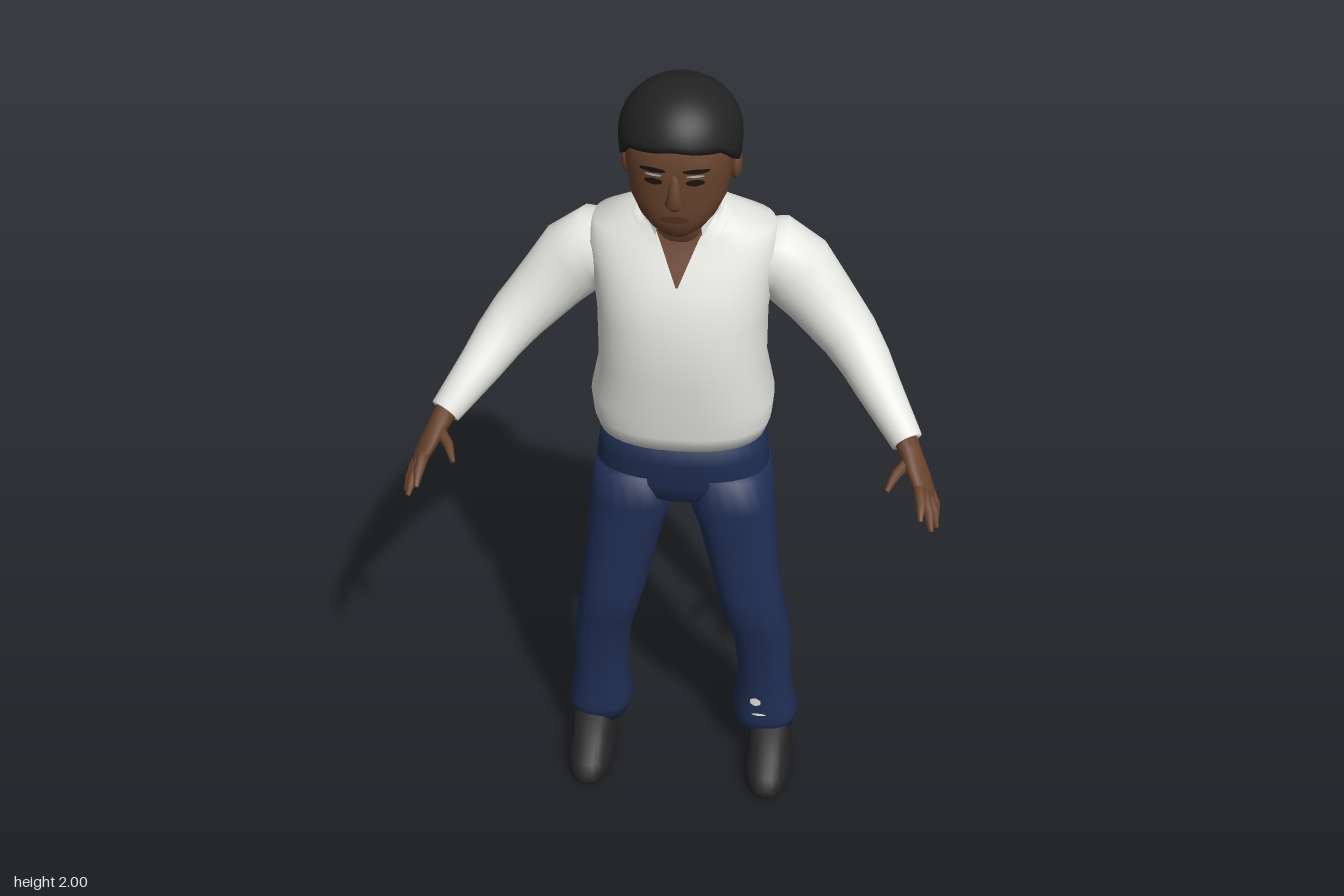
import * as THREE from 'three';

const material = (name, color, side = THREE.FrontSide) => {
  const m = new THREE.MeshStandardMaterial({ color, side });
  m.name = name;
  return m;
};

// Skin over a list of rings (arrays of Vector3), with optional end caps
function skin(rings, closed = true, caps = true) {
  const n = rings[0].length, pos = [], idx = [];
  rings.forEach(r => r.forEach(p => pos.push(p.x, p.y, p.z)));
  for (let i = 0; i < rings.length - 1; i++)
    for (let j = 0; j < (closed ? n : n - 1); j++) {
      const k = (j + 1) % n, a = i * n + j, b = i * n + k;
      idx.push(a, b, a + n, b, b + n, a + n);
    }
  if (caps) [0, rings.length - 1].forEach((r, end) => {
    const c = rings[r].reduce((s, p) => s.add(p), new THREE.Vector3()).divideScalar(n);
    const ci = pos.length / 3;
    pos.push(c.x, c.y, c.z);
    for (let j = 0; j < n; j++) {
      const a = r * n + j, b = r * n + (j + 1) % n;
      end ? idx.push(ci, a, b) : idx.push(ci, b, a);
    }
  });
  const g = new THREE.BufferGeometry();
  g.setAttribute('position', new THREE.Float32BufferAttribute(pos, 3));
  g.setIndex(idx);
  g.computeVertexNormals();
  return g;
}

// Point on a horizontal rounded section [y, halfWidth, frontZ, backZ, centreX]
const POWER = 2.4;
const bulge = v => Math.sign(v) * Math.abs(v) ** (2 / POWER);
function sectionPoint([y, rx, front, back, cx = 0], a, off = 0) {
  return new THREE.Vector3(cx + (rx + off) * bulge(Math.sin(a)), y,
    (front + back) / 2 + ((front - back) / 2 + off) * bulge(Math.cos(a)));
}
function sectionAt(sections, y) {
  let i = 0;
  while (i < sections.length - 2 && sections[i + 1][0] < y) i++;
  const a = sections[i], b = sections[i + 1];
  const t = (y - a[0]) / (b[0] - a[0]);
  return [0, 1, 2, 3, 4].map(k => THREE.MathUtils.lerp(a[k] ?? 0, b[k] ?? 0, t));
}
const loft = (sections, seg = 32) => skin(sections.map(s =>
  Array.from({ length: seg }, (_, j) => sectionPoint(s, j / seg * Math.PI * 2))));

// Thin plate on the front of a loft; spans(v) gives [y, x0, x1] from bottom to top
function plate(sections, spans, off = 0.005, rows = 6, cols = 8) {
  return skin(Array.from({ length: rows + 1 }, (_, i) => {
    const [y, x0, x1] = spans(i / rows), s = sectionAt(sections, y);
    return Array.from({ length: cols + 1 }, (_, j) => {
      const x = (THREE.MathUtils.lerp(x0, x1, j / cols) - s[4]) / s[1];
      const a = Math.sign(x) * Math.asin(Math.min(1, Math.abs(x)) ** (POWER / 2));
      return sectionPoint(s, a, off);
    });
  }), false, false);
}
const oval = (cx, cy, rx, ry) => v => {
  const h = rx * Math.sqrt(Math.max(0.02, 1 - (2 * v - 1) ** 2));
  return [cy + ry * (2 * v - 1), cx - h, cx + h];
};

// Limb along points [x, y, z, radius, secondRadius], wide along ref
function limb(points, ref = new THREE.Vector3(0, 1, 0.2), seg = 14) {
  const c = points.map(p => new THREE.Vector3(p[0], p[1], p[2]));
  return skin(c.map((p, i) => {
    const t = c[Math.min(i + 1, c.length - 1)].clone().sub(c[Math.max(i - 1, 0)]).normalize();
    const u = ref.clone().addScaledVector(t, -ref.dot(t)).normalize();
    const w = t.clone().cross(u);
    const [, , , r, r2 = r] = points[i];
    return Array.from({ length: seg }, (_, j) => {
      const a = j / seg * Math.PI * 2;
      return p.clone().addScaledVector(u, r * Math.cos(a)).addScaledVector(w, r2 * Math.sin(a));
    });
  }));
}

const TORSO = [[1.085, 0.2, 0.035, -0.245], [1.12, 0.212, 0.04, -0.25], [1.18, 0.217, 0.05, -0.255],
  [1.28, 0.196, 0.062, -0.26], [1.42, 0.196, 0.072, -0.268], [1.52, 0.21, 0.04, -0.274],
  [1.58, 0.22, 0.012, -0.262], [1.625, 0.205, -0.01, -0.235], [1.66, 0.13, -0.02, -0.2], [1.685, 0.08, -0.022, -0.165]];
const HEAD = [[1.67, 0.03, 0.045, -0.03], [1.69, 0.06, 0.062, -0.07], [1.72, 0.085, 0.074, -0.1],
  [1.76, 0.106, 0.076, -0.13], [1.82, 0.116, 0.08, -0.15], [1.88, 0.118, 0.084, -0.165],
  [1.94, 0.095, 0.055, -0.15], [1.97, 0.06, 0.02, -0.11]];
const HIPS = [[0.875, 0.11, -0.04, -0.16], [0.91, 0.19, 0.0, -0.205], [0.96, 0.213, 0.015, -0.23],
  [1.03, 0.203, 0.024, -0.243], [1.11, 0.193, 0.03, -0.24]];
const leg = s => [[0.1, 0.074, -0.045, -0.2, 0.225], [0.15, 0.087, -0.036, -0.202, 0.222], [0.19, 0.078, -0.04, -0.196, 0.22],
  [0.28, 0.069, -0.038, -0.19, 0.217], [0.4, 0.074, -0.022, -0.195, 0.21], [0.48, 0.077, -0.008, -0.175, 0.195],
  [0.53, 0.079, 0.01, -0.162, 0.185], [0.6, 0.083, 0.01, -0.162, 0.17], [0.8, 0.095, 0.012, -0.19, 0.138],
  [0.88, 0.107, 0.015, -0.215, 0.12], [0.98, 0.1, 0.018, -0.235, 0.112]].map(r => [...r.slice(0, 4), s * r[4]]);
const shoe = s => [[0, 0.056, 0.094, -0.184], [0.012, 0.061, 0.102, -0.19], [0.035, 0.062, 0.1, -0.19], [0.055, 0.058, 0.08, -0.186],
  [0.08, 0.053, 0.03, -0.18], [0.125, 0.05, -0.04, -0.175]].map(r => [...r, s * 0.238]);

// Hair cap with a hairline that drops from the forehead to the nape
function hairGeometry() {
  const seg = 48, rows = 12;
  const line = [[0, 1.9], [0.8, 1.885], [1.2, 1.845], [1.5, 1.825], [1.75, 1.83], [2.0, 1.785], [2.5, 1.76], [3.15, 1.755]];
  const low = a => {
    const i = Math.max(0, line.findIndex(p => p[0] >= a) - 1), [p, q] = [line[i], line[i + 1]];
    return THREE.MathUtils.lerp(p[1], q[1], (a - p[0]) / (q[0] - p[0]));
  };
  return skin(Array.from({ length: rows + 2 }, (_, i) => Array.from({ length: seg }, (_, j) => {
    const a = j / seg * Math.PI * 2, y0 = low(Math.min(a, Math.PI * 2 - a));
    const y = y0 + (2 - y0) * Math.sin(Math.max(0, i - 1) / rows * Math.PI / 2);
    const d = (y - 1.88) / 0.12;
    const s = (d > 0 ? Math.sqrt(Math.max(0, 1 - d * d)) : 1 - 0.18 * d * d) * (i ? 1 : 0.8);
    return new THREE.Vector3(0.134 * s * Math.sin(a), y, -0.045 + 0.146 * s * Math.cos(a));
  })), true, false);
}

export function createModel() {
  const group = new THREE.Group();
  group.name = 'standingMan';
  const skinMat = material('brown skin', 0x68432d), shirt = material('white shirt', 0xe6e6e2, THREE.DoubleSide);
  const navy = material('navy trousers', 0x212f55), black = material('black hair', 0x222222);
  const leather = material('black leather', 0x242424), lipMat = material('lips', 0x53301f);
  const dark = material('dark eyes', 0x1b1310), pale = material('eye white', 0xb9b4ae);
  const add = (name, geometry, mat) => {
    const m = new THREE.Mesh(geometry, mat);
    m.name = name;
    group.add(m);
    return m;
  };

  // Head and neck
  add('head', loft(HEAD), skinMat);
  add('neck', loft([[1.6, 0.075, -0.01, -0.16], [1.67, 0.068, 0.005, -0.15], [1.76, 0.07, 0.0, -0.145]]), skinMat);
  add('hair', hairGeometry(), black);
  add('nose', limb([[0, 1.835, 0.072, 0.01], [0, 1.79, 0.078, 0.014], [0, 1.768, 0.077, 0.021, 0.016], [0, 1.757, 0.073, 0.012]],
    new THREE.Vector3(1, 0, 0)), skinMat);
  add('lips', plate(HEAD, oval(0, 1.73, 0.03, 0.009)), lipMat);

  // Shirt body, open neck and collar
  add('shirtBody', loft(TORSO, 40), shirt);
  add('openNeck', plate(TORSO, v => [1.535 + 0.15 * v, -0.062 * v - 0.002, 0.062 * v + 0.002], 0.006), skinMat);
  const collar = add('collarBand', new THREE.CylinderGeometry(0.08, 0.092, 0.06, 28, 1, true, 0.6, Math.PI * 2 - 1.2), shirt);
  collar.position.set(0, 1.68, -0.08);
  collar.rotation.x = 0.2;

  for (const s of [1, -1]) {
    const side = s > 0 ? 'left' : 'right';
    const flip = pts => pts.map(p => [s * p[0], ...p.slice(1)]);

    // Face details
    add(side + 'Eye', plate(HEAD, oval(s * 0.043, 1.822, 0.019, 0.008), 0.004), dark);
    add(side + 'EyeWhite', plate(HEAD, oval(s * 0.043, 1.838, 0.018, 0.003), 0.005), pale);
    add(side + 'Eyebrow', plate(HEAD, oval(s * 0.045, 1.849, 0.028, 0.006), 0.004), dark);
    const ear = add(side + 'Ear', new THREE.SphereGeometry(1, 14, 10), skinMat);
    ear.scale.set(0.014, 0.036, 0.022);
    ear.position.set(s * 0.118, 1.8, -0.06);

    // Collar flap beside the open neck
    add(side + 'CollarFlap', plate(TORSO, v => {
      const inner = 0.03 + 0.038 * v, outer = inner + 0.012 + 0.035 * v;
      return s > 0 ? [1.605 + 0.08 * v, inner, outer] : [1.605 + 0.08 * v, -outer, -inner];
    }, 0.013), shirt);

    // Sleeve, hand and fingers
    add(side + 'Sleeve', limb(flip([[0.13, 1.53, -0.13, 0.085], [0.21, 1.528, -0.14, 0.094], [0.255, 1.495, -0.138, 0.092],
      [0.31, 1.435, -0.125, 0.08], [0.385, 1.36, -0.085, 0.068], [0.425, 1.317, -0.045, 0.06],
      [0.46, 1.275, 0.0, 0.052], [0.53, 1.202, 0.095, 0.037]]), undefined, 20), shirt);
    add(side + 'Palm', limb(flip([[0.52, 1.215, 0.08, 0.028], [0.54, 1.185, 0.115, 0.032, 0.024], [0.56, 1.155, 0.15, 0.043, 0.02],
      [0.576, 1.128, 0.175, 0.043, 0.017], [0.583, 1.115, 0.187, 0.034, 0.011]]),
      new THREE.Vector3(-0.035 * s, 0.04, 0.055)), skinMat);
    const fingers = {
      IndexFinger: [[0.563, 1.148, 0.195], [0.568, 1.13, 0.235], [0.568, 1.112, 0.27]],
      MiddleFinger: [[0.574, 1.13, 0.188], [0.587, 1.1, 0.222], [0.595, 1.07, 0.25]],
      RingFinger: [[0.584, 1.113, 0.172], [0.6, 1.083, 0.195], [0.608, 1.054, 0.213]],
      LittleFinger: [[0.588, 1.108, 0.152], [0.603, 1.08, 0.16], [0.609, 1.05, 0.167]],
      Thumb: [[0.54, 1.178, 0.13], [0.508, 1.167, 0.178], [0.49, 1.153, 0.222]],
    };
    for (const [name, path] of Object.entries(fingers))
      add(side + name, limb(flip(path.map((p, i) => [...p, [0.014, 0.012, 0.006][i]])), new THREE.Vector3(0.8, 0.3, 0.1), 8), skinMat);

    // Trouser leg and shoe
    add(side + 'TrouserLeg', loft(leg(s), 24), navy);
    add(side + 'Shoe', loft(shoe(s), 28), leather);
  }
  add('trouserSeat', loft(HIPS, 32), navy);

  // Small pale patches near the hems
  add('leftHemPatch', plate(leg(1), oval(0.2, 0.222, 0.014, 0.014), 0.003), shirt);
  add('leftHemSlit', plate(leg(1), oval(0.21, 0.178, 0.018, 0.004), 0.003), shirt);
  return group;
}
